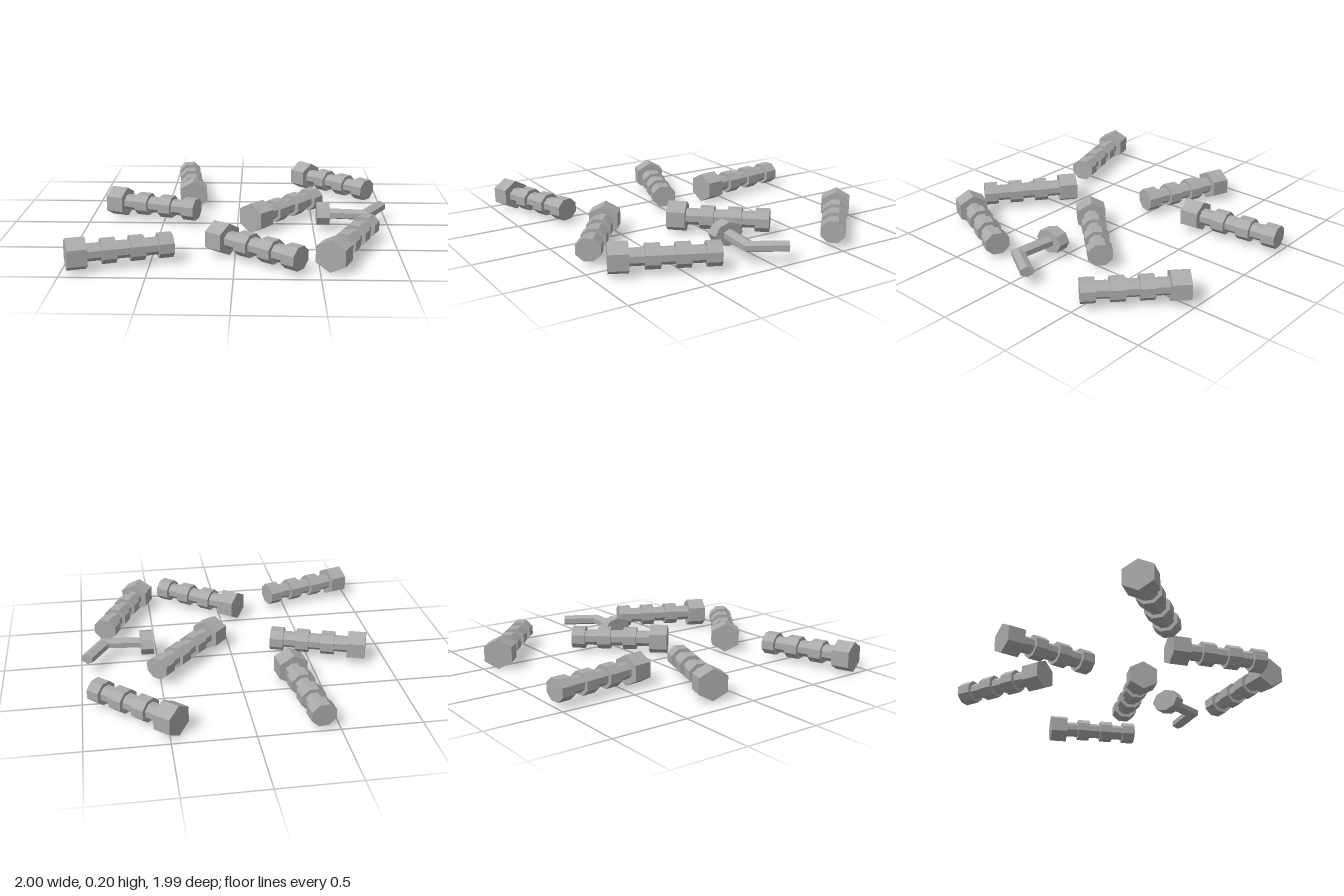
import * as THREE from 'three';

const steel = new THREE.MeshStandardMaterial({ color: 0xaaaaaa, flatShading: true });
steel.name = 'light grey steel';

// Prism lying along +x from x0 to x1, with its own height and depth radii
function prism(name, sides, start, x0, x1, ry, rz) {
  const geo = new THREE.CylinderGeometry(1, 1, x1 - x0, sides, 1, false, start);
  geo.rotateZ(-Math.PI / 2);
  geo.scale(1, ry, rz);
  geo.translate((x0 + x1) / 2, 0, 0);
  const mesh = new THREE.Mesh(geo, steel);
  mesh.name = name;
  return mesh;
}

// Ribbed bolt: hex head at the origin, shaft and three collars along +x
const BOLT_LENGTH = 0.65;
function makeBolt() {
  const bolt = new THREE.Group();
  bolt.name = 'bolt';
  bolt.add(prism('boltHead', 6, Math.PI / 2, 0, 0.12, 0.1, 0.106));
  bolt.add(prism('boltShaft', 8, Math.PI / 8, 0.11, 0.6, 0.053, 0.058));
  for (const x of [0.21, 0.385, 0.56]) {
    bolt.add(prism('boltCollar', 8, Math.PI / 8, x, x + 0.09, 0.076, 0.083));
  }
  return bolt;
}

// Bent arm: hexagonal section swept along a level path with a mitred corner
function makeArm(path, ry, rz) {
  const sides = 6;
  const dirs = path.slice(1).map((p, i) => p.clone().sub(path[i]).normalize());
  const pos = [];
  const index = [];
  path.forEach((p, i) => {
    const a = dirs[Math.max(i - 1, 0)];
    const b = dirs[Math.min(i, dirs.length - 1)];
    const na = new THREE.Vector2(-a.y, a.x);
    const side = na.clone().add(new THREE.Vector2(-b.y, b.x)).normalize();
    side.multiplyScalar(rz / side.dot(na));
    for (let k = 0; k < sides; k++) {
      const t = (k / sides) * Math.PI * 2;
      const s = Math.sin(t);
      pos.push(p.x + side.x * s, ry * Math.cos(t), p.y + side.y * s);
    }
  });
  for (let i = 0; i < path.length - 1; i++) {
    for (let k = 0; k < sides; k++) {
      const a = i * sides + k;
      const b = i * sides + ((k + 1) % sides);
      index.push(a, b, a + sides, b, b + sides, a + sides);
    }
  }
  // End caps
  const last = (path.length - 1) * sides;
  for (let k = 1; k < sides - 1; k++) {
    index.push(0, k + 1, k, last, last + k, last + k + 1);
  }
  const geo = new THREE.BufferGeometry();
  geo.setAttribute('position', new THREE.Float32BufferAttribute(pos, 3));
  geo.setIndex(index);
  geo.computeVertexNormals();
  const mesh = new THREE.Mesh(geo, steel);
  mesh.name = 'crankArm';
  return mesh;
}

export function createModel() {
  const model = new THREE.Group();
  model.name = 'scatteredBolts';
  const centreY = 0.103;

  // Bolts: head end x, z then tail end x, z
  const places = [
    [-0.316, -0.324, -0.396, -0.99],
    [0.444, -0.92, 0.914, -0.487],
    [-0.869, -0.198, -0.273, 0.011],
    [-0.973, 0.897, -0.374, 0.699],
    [0.086, 0.195, 0.524, -0.297],
    [-0.128, 0.537, 0.385, 0.925],
    [0.556, 0.89, 0.834, 0.291],
  ];
  for (const [x0, z0, x1, z1] of places) {
    const bolt = makeBolt();
    bolt.position.set(x0, centreY, z0);
    bolt.rotation.y = Math.atan2(z0 - z1, x1 - x0);
    bolt.scale.x = Math.hypot(x1 - x0, z1 - z0) / BOLT_LENGTH;
    model.add(bolt);
  }

  // Crank: round knob with a bent arm
  const crank = new THREE.Group();
  crank.name = 'crank';
  const knob = prism('crankKnob', 8, 0, 0.52, 0.603, 0.078, 0.102);
  knob.position.z = 0.074;
  crank.add(knob);
  const path = [[0.59, 0.073], [0.838, 0.099], [0.96, -0.107]];
  crank.add(makeArm(path.map(([x, z]) => new THREE.Vector2(x, z)), 0.035, 0.045));
  crank.position.y = centreY;
  model.add(crank);

  return model;
}
